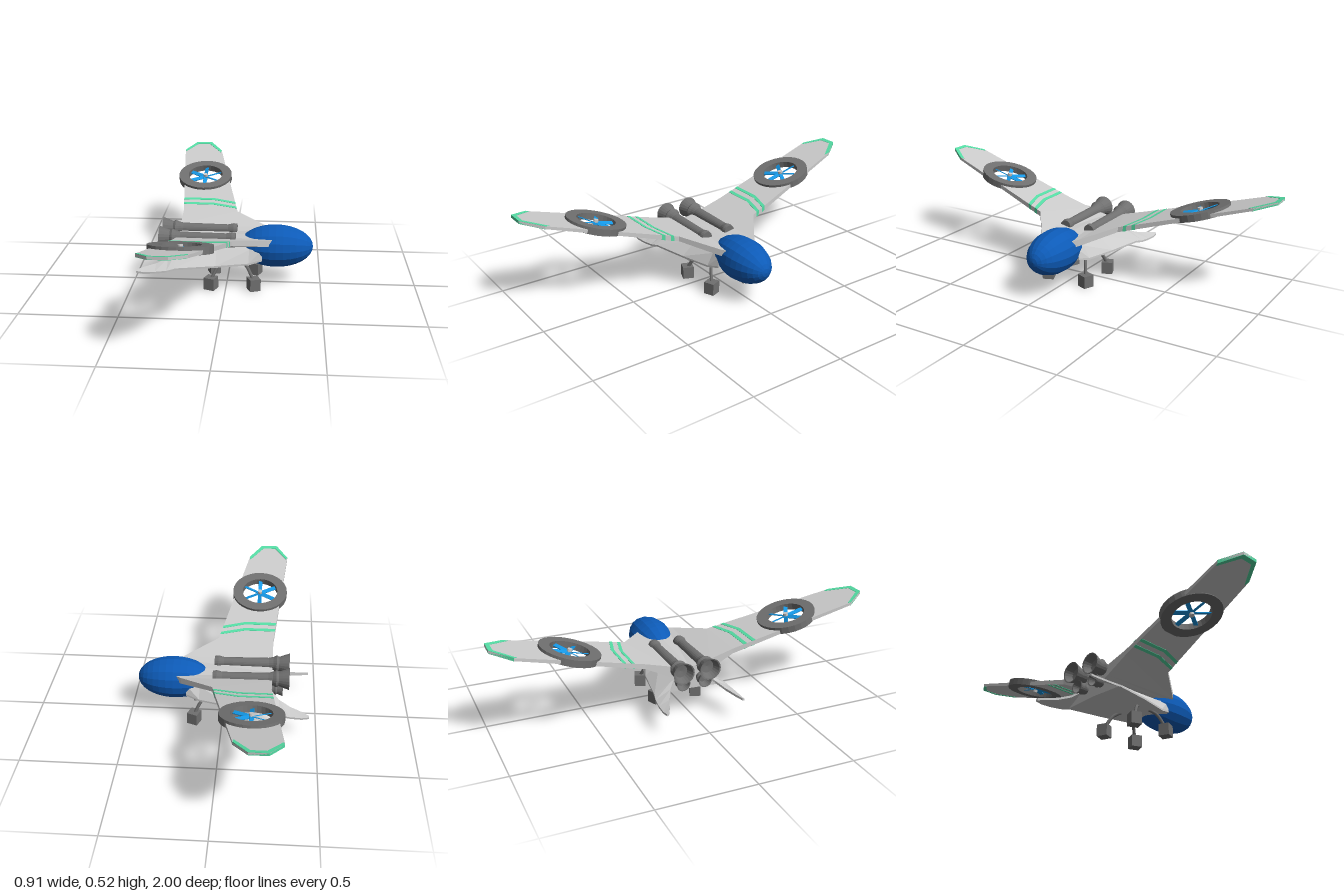
import * as THREE from 'three';

const mat = (color, smooth) => new THREE.MeshStandardMaterial({ color, flatShading: !smooth, side: THREE.DoubleSide });
const grey = mat(0xcccccc), dark = mat(0x707070), darkSmooth = mat(0x707070, true);
const blue = mat(0x0d5bb8), bladeBlue = mat(0x1597e5), green = mat(0x55dda5);

function add(parent, name, geometry, material, pos = [0, 0, 0]) {
  const mesh = new THREE.Mesh(geometry, material);
  mesh.name = name;
  mesh.position.set(...pos);
  parent.add(mesh);
  return mesh;
}

// Closed solid through equal-length cross-sections of [x, y, z] points
function loft(rings) {
  const tris = [], n = rings[0].length, last = rings.length - 1;
  for (let i = 0; i < last; i++) {
    for (let j = 0; j < n; j++) {
      const k = (j + 1) % n, a = rings[i], b = rings[i + 1];
      tris.push([a[j], a[k], b[k]], [a[j], b[k], b[j]]);
    }
  }
  for (let j = 1; j < n - 1; j++) {
    tris.push([rings[0][0], rings[0][j + 1], rings[0][j]]);
    tris.push([rings[last][0], rings[last][j], rings[last][j + 1]]);
  }
  // turn the faces outward if the enclosed volume comes out negative
  const v = (p) => new THREE.Vector3(...p);
  const volume = tris.reduce((s, [a, b, c]) => s + v(a).dot(v(b).cross(v(c))), 0);
  if (volume < 0) tris.forEach((t) => t.reverse());
  const g = new THREE.BufferGeometry();
  g.setAttribute('position', new THREE.Float32BufferAttribute(tris.flat(2), 3));
  g.computeVertexNormals();
  return g;
}

// Wing surfaces rise in a straight line from the root to the tip
const wingTop = (z) => 0.315 + (z - 0.24) * 0.27;
const wingBottom = (z) => 0.288 + (z - 0.24) * 0.288;
const frontEdge = (z) => 0.04 - (z - 0.24) * 0.212;
const rearEdge = (z) => -0.26 - (z - 0.24) * 0.098;

// Plan outline of [x, z] points, extruded and fitted to the wing surfaces
function wingSlab(outline, hole, extra = 0) {
  const shape = new THREE.Shape(outline.map((p) => new THREE.Vector2(...p)));
  if (hole) shape.holes.push(new THREE.Path().absarc(...hole, 0, Math.PI * 2, true));
  const g = new THREE.ExtrudeGeometry(shape, { depth: 1, bevelEnabled: false, curveSegments: 16 });
  const p = g.attributes.position;
  for (let i = 0; i < p.count; i++) {
    const z = p.getY(i);
    const y = p.getZ(i) < 0.5 ? wingTop(z) + extra : wingBottom(z) - extra;
    p.setXYZ(i, p.getX(i), y, z);
  }
  g.computeVertexNormals();
  return g;
}

// Lathe laid along the x axis; points are [radius, distance backward]
const latheX = (pts, n = 20) =>
  new THREE.LatheGeometry(pts.map((p) => new THREE.Vector2(...p)), n).rotateZ(Math.PI / 2);

function buildRotor() {
  const rotor = new THREE.Group();
  rotor.name = 'liftFan';
  const h = 0.018;
  const ring = [[0.1, -h], [0.155, -h], [0.155, h], [0.1, h], [0.1, -h]];
  add(rotor, 'fanRing', new THREE.LatheGeometry(ring.map((p) => new THREE.Vector2(...p)), 28), dark);
  add(rotor, 'fanHub', new THREE.CylinderGeometry(0.013, 0.013, 0.036, 10), grey);
  for (let i = 0; i < 6; i++) {
    const g = new THREE.BoxGeometry(0.095, 0.004, 0.022);
    g.rotateX(0.4).translate(0.055, 0, 0).rotateY(Math.PI / 2 + i * Math.PI / 3);
    add(rotor, 'fanBlade', g, bladeBlue);
  }
  rotor.position.set(-0.172, 0.408, 0.6);
  rotor.rotation.x = -0.265;
  return rotor;
}

function buildSide() {
  const side = new THREE.Group();

  // Wing root, blended forward into a prong beside the cockpit
  const root = (z, rear, front, topR, topF, botR, botF) =>
    [[rear, topR, z], [front, topF, z], [front, botF, z], [rear, botR, z]];
  add(side, 'wingRoot', loft([
    root(0, -0.26, 0.2, 0.255, 0.272, 0.2, 0.22),
    root(0.085, -0.26, 0.245, 0.272, 0.27, 0.21, 0.235),
    root(0.11, -0.26, 0.215, 0.279, 0.275, 0.222, 0.24),
    root(0.24, -0.26, 0.04, 0.315, 0.315, 0.288, 0.288),
  ]), grey);

  // Outer wing with the fan opening
  add(side, 'wing', wingSlab([
    [0.04, 0.24], [-0.1, 0.9], [-0.17, 1], [-0.26, 1], [-0.325, 0.9], [-0.26, 0.24],
  ], [-0.172, 0.6, 0.12]), grey);

  // Painted tip edge and the two bent stripes
  add(side, 'wingTipBand', wingSlab([
    [-0.1, 0.9], [-0.17, 1], [-0.26, 1], [-0.325, 0.9], [-0.318, 0.885],
    [-0.25, 0.978], [-0.18, 0.978], [-0.104, 0.875],
  ], null, 0.0015), green);
  for (const z of [0.3, 0.346]) {
    const w = 0.018, f = z - 0.034;
    add(side, 'wingStripe', wingSlab([
      [rearEdge(z), z], [-0.1, z], [frontEdge(f), f],
      [frontEdge(f + w), f + w], [-0.1, z + w], [rearEdge(z + w), z + w],
    ], null, 0.0015), green);
  }
  side.add(buildRotor());

  // Lower hull, flaring outward into a chine
  const hull = [
    [0.19, 0.09, 0.215, 0.1, 0.165, 0.15],
    [0.12, 0.085, 0.21, 0.12, 0.148, 0.14],
    [-0.05, 0.08, 0.21, 0.16, 0.145, 0.138],
    [-0.26, 0.08, 0.21, 0.195, 0.14, 0.138],
  ];
  add(side, 'lowerHull', loft(hull.map(([x, zi, yi, zo, yo, yb]) => [
    [x, yb, 0], [x, 0.24, 0], [x, yi, zi], [x, yo, zo], [x, yo - 0.01, zo], [x, yb, zi * 0.9],
  ])), grey);

  // Swept tail fin continuing the chine
  const fin = [
    [-0.25, 0.08, 0.21, 0.193, 0.14],
    [-0.3, 0.125, 0.172, 0.205, 0.13],
    [-0.36, 0.155, 0.15, 0.212, 0.125],
    [-0.42, 0.18, 0.139, 0.214, 0.123],
    [-0.458, 0.2, 0.131, 0.21, 0.127],
  ];
  add(side, 'tailFin', loft(fin.map(([x, zi, yi, zo, yo]) => [
    [x, yi, zi], [x, yo, zo], [x, yo - 0.01, zo], [x, yi - 0.012, zi],
  ])), grey);

  // Upper engine tube with flared nozzle, and a smaller nozzle below
  add(side, 'engine', latheX([
    [0, -0.05], [0.03, -0.05], [0.033, -0.03], [0.026, 0], [0.03, 0.24], [0.036, 0.265],
    [0.045, 0.282], [0.038, 0.295], [0.044, 0.312], [0.057, 0.35], [0.05, 0.348], [0.034, 0.31], [0, 0.305],
  ]), dark, [0, 0.268, 0.072]);
  add(side, 'lowerNozzle', latheX([
    [0.026, 0.24], [0.026, 0.27], [0.032, 0.28], [0.026, 0.288], [0.037, 0.318], [0.032, 0.317], [0.02, 0.285], [0, 0.285],
  ]), dark, [0, 0.195, 0.06]);

  // Landing legs, splayed away from the middle, with block feet
  for (const s of [1, -1]) {
    const leg = new THREE.CatmullRomCurve3([[0.04, 0.145, 0.065], [0.075, 0.12, 0.09], [0.11, 0.055, 0.113]]
      .map(([x, y, z]) => new THREE.Vector3(0.035 + s * x, y, z)));
    add(side, 'landingLeg', new THREE.TubeGeometry(leg, 6, 0.009, 6), darkSmooth);
    const foot = add(side, 'landingFoot', new THREE.BoxGeometry(0.058, 0.065, 0.058), dark, [0.035 + s * 0.113, 0.0325, 0.114]);
    foot.rotation.y = s * 0.38;
  }
  return side;
}

export function createModel() {
  const model = new THREE.Group();
  model.name = 'aircraft';

  // Cockpit pod, long axis along x
  const pod = new THREE.SphereGeometry(1, 16, 16).rotateZ(-Math.PI / 2).scale(0.195, 0.113, 0.111);
  add(model, 'cockpit', pod, blue, [0.26, 0.208, 0]);

  for (const s of [1, -1]) {
    const side = buildSide();
    side.name = s > 0 ? 'leftHalf' : 'rightHalf';
    side.scale.z = s;
    model.add(side);
  }
  return model;
}
